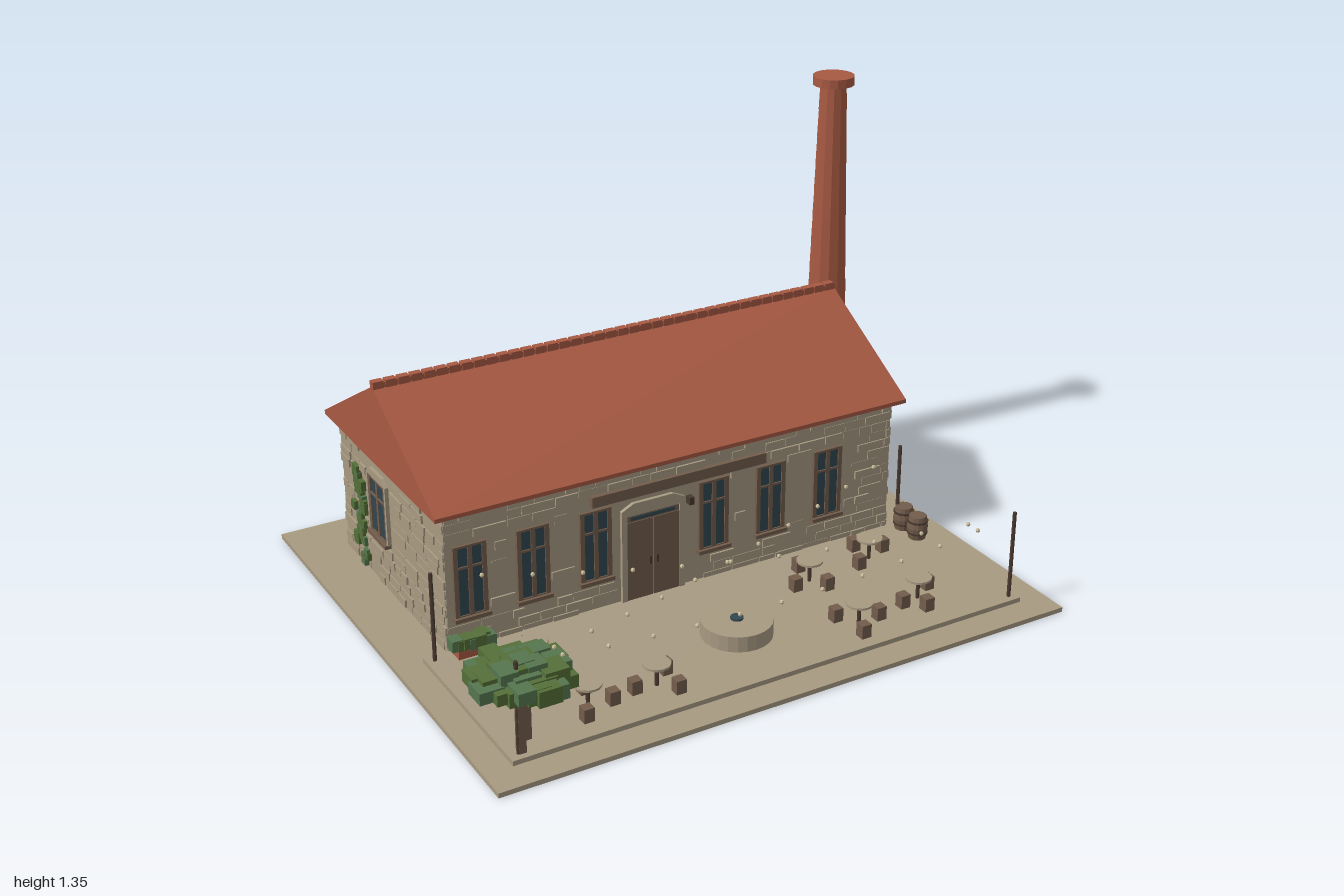
import * as THREE from 'three';
import { mergeGeometries } from 'three/addons/utils/BufferGeometryUtils.js';

const mat = (name, color) => {
  const m = new THREE.MeshStandardMaterial({ color, flatShading: true });
  m.name = name;
  return m;
};

export function createModel() {
  const model = new THREE.Group();
  const stone = mat('stone', 0xa89a82), tile = mat('roof tile', 0xa85a43), wood = mat('wood', 0x735d4c);
  const glass = mat('glass', 0x30464f), leaf = mat('leaf', 0x546f38), leaf2 = mat('pale leaf', 0x56764f);
  const dark = mat('dark wood', 0x4a3a30), bulb = mat('bulb', 0xc9bb98);

  let seed = 7;
  const rnd = (a = 0, b = 1) => {
    seed = (seed * 16807) % 2147483647;
    return a + (b - a) * seed / 2147483647;
  };
  const add = (parent, name, geo, m, x = 0, y = 0, z = 0) => {
    const mesh = new THREE.Mesh(geo, m);
    mesh.name = name;
    mesh.position.set(x, y, z);
    parent.add(mesh);
    return mesh;
  };
  const group = (name, x = 0, y = 0, z = 0, ry = 0, parent = model) => {
    const g = new THREE.Group();
    g.name = name;
    g.position.set(x, y, z);
    g.rotation.y = ry;
    parent.add(g);
    return g;
  };
  // box given by its limits
  const block = (p, name, m, x0, x1, y0, y1, z0, z1) =>
    add(p, name, new THREE.BoxGeometry(x1 - x0, y1 - y0, z1 - z0), m, (x0 + x1) / 2, (y0 + y1) / 2, (z0 + z1) / 2);
  const rod = (p, name, m, r0, r1, y0, y1, x, z, n = 8) =>
    add(p, name, new THREE.CylinderGeometry(r1, r0, y1 - y0, n), m, x, (y0 + y1) / 2, z);

  // ground slabs and main body
  block(model, 'ground', stone, -0.985, 0.89, 0, 0.015, -0.81, 0.81);
  block(model, 'patio', stone, -0.9, 0.8, 0.015, 0.03, 0.13, 0.72);
  block(model, 'walls', stone, -0.82, 0.72, 0.015, 0.475, -0.64, 0.135);

  // plain window: glass, frame bars, sill, all standing on the local z = 0 wall face
  const makeWindow = (wall, x, y0, y1, w, arched) => {
    const g = group('window', x, 0, 0, 0, wall), h = w / 2, t = 0.007;
    block(g, 'pane', glass, -h, h, y0, y1, 0, 0.006);
    for (const c of [-h, 0, h]) block(g, 'frameBar', wood, c - t, c + t, y0, y1, 0, 0.01);
    for (const c of [y0, y0 + (y1 - y0) * 0.7, y1]) block(g, 'crossBar', wood, -h - t, h + t, c - t / 2, c + t / 2, 0, 0.01);
    block(g, 'sill', wood, -h - 0.012, h + 0.012, y0 - 0.012, y0, 0, 0.02);
    if (arched) makeSurround(g, h + 0.006, h + 0.017, y0, y1 + 0.006, y1 + 0.03);
  };
  // stone frame with a chamfered head
  const makeSurround = (g, inner, outer, y0, y1, top) => {
    const s = new THREE.Shape([[-outer, y0], [-inner, y0], [-inner, y1], [inner, y1], [inner, y0], [outer, y0],
      [outer, top - 0.02], [inner * 0.75, top], [-inner * 0.75, top], [-outer, top - 0.02]].map(p => new THREE.Vector2(...p)));
    add(g, 'surround', new THREE.ExtrudeGeometry(s, { depth: 0.012, bevelEnabled: false }), stone);
  };
  // wall face with raised masonry, leaving the openings free
  const makeWall = (name, x, z, ry, width, openings) => {
    const wall = group(name, x, 0, z, ry), parts = [], half = width / 2, rows = 15, rh = 0.45 / rows;
    for (let r = 0; r < rows; r++) {
      const y = 0.017 + r * rh;
      for (let a = -half; a < half - 0.01;) {
        const b = Math.min(half, a + rnd(0.04, 0.11)), d = rnd(0.001, 0.007);
        const hit = openings.some(o => a < o[1] && b > o[0] && y < o[3] && y + rh > o[2]);
        if (!hit && rnd() < 0.85) {
          const q = new THREE.BoxGeometry(b - a - 0.005, rh - 0.004, d);
          q.translate((a + b) / 2, y + rh / 2, d / 2);
          parts.push(q);
        }
        a = b;
      }
    }
    add(wall, 'masonry', mergeGeometries(parts), stone);
    return wall;
  };
  const rect = (x, w, y0, y1) => [x - w / 2 - 0.012, x + w / 2 + 0.012, y0 - 0.012, y1 + 0.008];
  const frontX = [-0.745, -0.545, -0.34, 0.065, 0.27, 0.48].map(x => x + 0.05);
  const backX = [-0.63, -0.383, -0.137, 0.11, 0.355, 0.6].map(x => -x - 0.05);
  const doorX = -0.097;
  const front = makeWall('frontWall', -0.05, 0.135, 0, 1.54,
    [...frontX.map(x => rect(x, 0.09, 0.135, 0.36)), rect(doorX, 0.21, 0, 0.35)]);
  const back = makeWall('backWall', -0.05, -0.64, Math.PI, 1.54, backX.map(x => rect(x, 0.09, 0.135, 0.36)));
  frontX.forEach(x => makeWindow(front, x, 0.135, 0.36, 0.09));
  backX.forEach(x => makeWindow(back, x, 0.135, 0.36, 0.09));
  for (const [name, x, wx, s] of [['leftWall', 0.72, -0.0575, 1], ['rightWall', -0.82, -0.0875, -1]]) {
    const wall = makeWall(name, x, -0.2525, s * Math.PI / 2, 0.775, [rect(wx, 0.15, 0.18, 0.405)]);
    makeWindow(wall, wx, 0.185, 0.37, 0.115, true);
    // climbing plant on the shaded side
    if (s < 0) for (let i = 0; i < 26; i++) {
      const w = rnd(0.02, 0.04);
      add(wall, 'ivy', new THREE.BoxGeometry(w, w, 0.016), i % 3 ? leaf : leaf2, -0.23 + rnd(-0.055, 0.055), 0.04 + i * 0.012, 0.008);
    }
  }

  // door, lamp and sign board
  const door = group('door', doorX, 0, 0, 0, front);
  for (const s of [-1, 1]) {
    block(door, 'doorLeaf', wood, s > 0 ? 0.002 : -0.09, s > 0 ? 0.09 : -0.002, 0.03, 0.292, 0, 0.009);
    block(door, 'handle', dark, s * 0.012 - 0.003, s * 0.012 + 0.003, 0.14, 0.165, 0.009, 0.015);
  }
  block(door, 'transom', glass, -0.075, 0.075, 0.297, 0.308, 0, 0.008);
  block(door, 'lintel', wood, -0.09, 0.09, 0.29, 0.315, 0, 0.006);
  makeSurround(door, 0.09, 0.108, 0.03, 0.315, 0.355);
  block(front, 'lamp', dark, 0.022, 0.038, 0.305, 0.33, 0, 0.022);
  block(front, 'signBoard', wood, -0.305, 0.295, 0.378, 0.412, 0, 0.018);

  // roof prism with a row of ridge tiles
  const gable = new THREE.Shape([[-0.42, 0.467], [0.42, 0.467], [0.42, 0.48], [0, 0.722], [-0.42, 0.48]].map(p => new THREE.Vector2(...p)));
  const roofGeo = new THREE.ExtrudeGeometry(gable, { depth: 1.61, bevelEnabled: false }).rotateY(Math.PI / 2);
  add(model, 'roof', roofGeo, tile, -0.855, 0, -0.255);
  for (let i = 0; i < 40; i++) {
    const x = -0.855 + i * 0.0403;
    block(model, 'ridgeTile', tile, x, x + 0.034, 0.712, 0.738, -0.267, -0.243);
  }
  block(model, 'ridgeCap', tile, -0.855, 0.757, 0.712, 0.732, -0.265, -0.245);

  // chimney of tapering courses
  const chimney = group('chimney', 0.905, 0, -0.505);
  block(chimney, 'chimneyBase', stone, -0.09, 0.09, 0.015, 0.222, -0.094, 0.094);
  const rad = t => 0.073 - 0.03 * t;
  for (let i = 0; i < 12; i++) {
    const y = 0.222 + i * 0.0917;
    rod(chimney, 'course', tile, rad(i / 12) + 0.001, rad((i + 1) / 12), y, y + 0.0917, 0, 0, 12);
  }
  rod(chimney, 'chimneyCap', tile, 0.069, 0.069, 1.317, 1.347, 0, 0, 16);

  // fountain
  const fountain = group('fountain', -0.05, 0, 0.465);
  rod(fountain, 'basin', stone, 0.108, 0.108, 0.03, 0.08, 0, 0, 24);
  rod(fountain, 'spout', glass, 0.02, 0.02, 0.08, 0.086, 0, 0, 12);

  // tables with stools: x, z, then stool angles in degrees
  for (const [x, z, ...angles] of [[-0.63, 0.31, -77, 175, 100, 0], [-0.605, 0.585, -72, 18, 120], [-0.39, 0.59, 180, -40, 57],
    [0.305, 0.315, -85, 160, 72], [0.545, 0.29, -98, -18, 150], [0.29, 0.6, -132, 113, 3], [0.53, 0.565, 165, -30, 103]]) {
    const set = group('tableSet', x, 0, z);
    rod(set, 'tableTop', stone, 0.041, 0.041, 0.097, 0.104, 0, 0, 16);
    rod(set, 'tableLeg', dark, 0.006, 0.006, 0.03, 0.097, 0, 0, 6);
    if (angles.length > 3) angles.pop();
    for (const a of angles) {
      const t = a * Math.PI / 180, cx = 0.07 * Math.cos(t), cz = 0.07 * Math.sin(t);
      block(set, 'stool', wood, cx - 0.016, cx + 0.016, 0.03, 0.073, cz - 0.016, cz + 0.016);
    }
  }

  // barrels
  for (const z of [0.178, 0.252]) {
    const b = group('barrel', 0.76, 0, z);
    const profile = [[0, 0.03], [0.028, 0.03], [0.034, 0.068], [0.028, 0.108], [0, 0.108]].map(p => new THREE.Vector2(...p));
    add(b, 'staves', new THREE.LatheGeometry(profile, 12), wood);
    for (const y of [0.048, 0.087]) rod(b, 'hoop', dark, 0.034, 0.034, y, y + 0.006, 0, 0, 12);
  }

  // light poles and sagging strings of bulbs
  const poles = [[-0.875, 0.16], [0.775, 0.695], [0.75, 0.155], [-0.87, 0.695]];
  for (const [x, z] of poles) rod(model, 'lightPole', dark, 0.006, 0.006, 0.015, 0.315, x, z, 6);
  for (const [a, b] of [[0, 1], [2, 3], [3, 1]])
    for (let i = 1; i < 12; i++) {
      const t = i / 12, mix = k => poles[a][k] * (1 - t) + poles[b][k] * t;
      add(model, 'bulb', new THREE.SphereGeometry(0.007, 6, 4), bulb, mix(0), 0.31 - 0.24 * t * (1 - t), mix(1));
    }

  // tree with blocky foliage
  const tree = group('tree', -0.835, 0, 0.655);
  for (const [x, z] of [[-0.025, 0.035], [0.015, -0.015]]) block(tree, 'trunk', wood, x - 0.011, x + 0.011, 0.015, 0.22, z - 0.011, z + 0.011);
  for (let i = 0; i < 34; i++) {
    const a = i * 2.4, r = Math.sqrt(i / 34), w = rnd(0.05, 0.085), h = rnd(0.03, 0.05);
    add(tree, 'foliage', new THREE.BoxGeometry(w, h, rnd(0.05, 0.085)), i % 3 ? leaf : leaf2,
      r * 0.125 * Math.cos(a), 0.222 + (1 - r) * 0.055 + rnd(-0.01, 0.025), r * 0.11 * Math.sin(a));
  }

  // planter by the corner
  block(model, 'planter', tile, -0.815, -0.715, 0.03, 0.056, 0.15, 0.195);
  for (let i = 0; i < 7; i++)
    add(model, 'shrub', new THREE.BoxGeometry(0.035, 0.035, 0.04), i % 3 ? leaf : leaf2, -0.815 + i * 0.017, 0.066 + rnd(0, 0.012), 0.17 + rnd(0, 0.014));
  return model;
}
